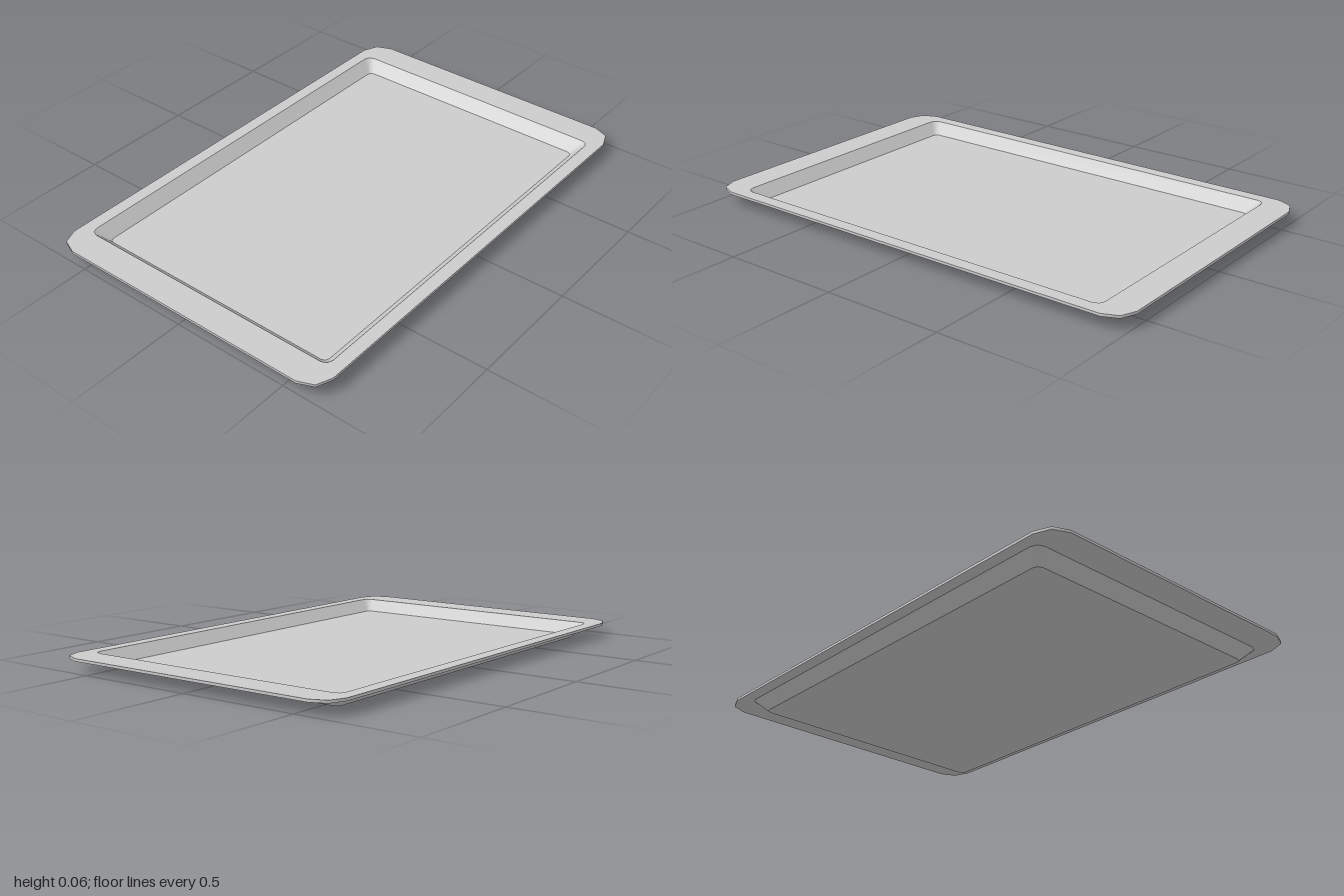
import * as THREE from 'three';
import { mergeGeometries } from 'three/addons/utils/BufferGeometryUtils.js';

const CORNER_STEPS = 2;

// Rounded-rectangle loop; hx, hz are half sizes, r the corner radius
function ring([hx, hz, r, y]) {
  const points = [];
  for (let c = 0; c < 4; c++) {
    const sx = c === 0 || c === 3 ? 1 : -1;
    const sz = c < 2 ? 1 : -1;
    for (let k = 0; k <= CORNER_STEPS; k++) {
      const a = (c + k / CORNER_STEPS) * Math.PI / 2;
      points.push(sx * (hx - r) + r * Math.cos(a), y, sz * (hz - r) + r * Math.sin(a));
    }
  }
  return points;
}

// Surface between two loops; a loop of zero size closes it as a flat cap
function band(from, to) {
  const n = 4 * (CORNER_STEPS + 1);
  const index = [];
  for (let i = 0; i < n; i++) {
    const j = (i + 1) % n;
    if (from[0] > 0) index.push(i, n + i, j);
    if (to[0] > 0) index.push(j, n + i, n + j);
  }
  const geometry = new THREE.BufferGeometry();
  geometry.setAttribute('position', new THREE.Float32BufferAttribute([...ring(from), ...ring(to)], 3));
  geometry.setIndex(index);
  geometry.computeVertexNormals();
  return geometry;
}

export function createModel() {
  const tray = new THREE.Group();
  tray.name = 'tray';
  const material = new THREE.MeshStandardMaterial({ color: 0xcccccc });

  // Loops of the sheet: [half width, half length, corner radius, height]
  const underCentre = [0, 0, 0, 0];
  const underFloor = [0.552, 0.832, 0.025, 0];
  const underWallTop = [0.6, 0.88, 0.035, 0.047];
  const rimLower = [0.65, 1, 0.09, 0.047];
  const rimUpper = [0.65, 1, 0.09, 0.058];
  const wallTop = [0.595, 0.875, 0.03, 0.058];
  const floorEdge = [0.547, 0.827, 0.02, 0.01];
  const floorCentre = [0, 0, 0, 0.01];

  const parts = {
    floor: [[underCentre, underFloor], [floorEdge, floorCentre]],
    slopedWalls: [[underFloor, underWallTop], [wallTop, floorEdge]],
    rim: [[underWallTop, rimLower], [rimLower, rimUpper], [rimUpper, wallTop]],
  };
  for (const [name, bands] of Object.entries(parts)) {
    const mesh = new THREE.Mesh(mergeGeometries(bands.map(([a, b]) => band(a, b))), material);
    mesh.name = name;
    tray.add(mesh);
  }
  return tray;
}
